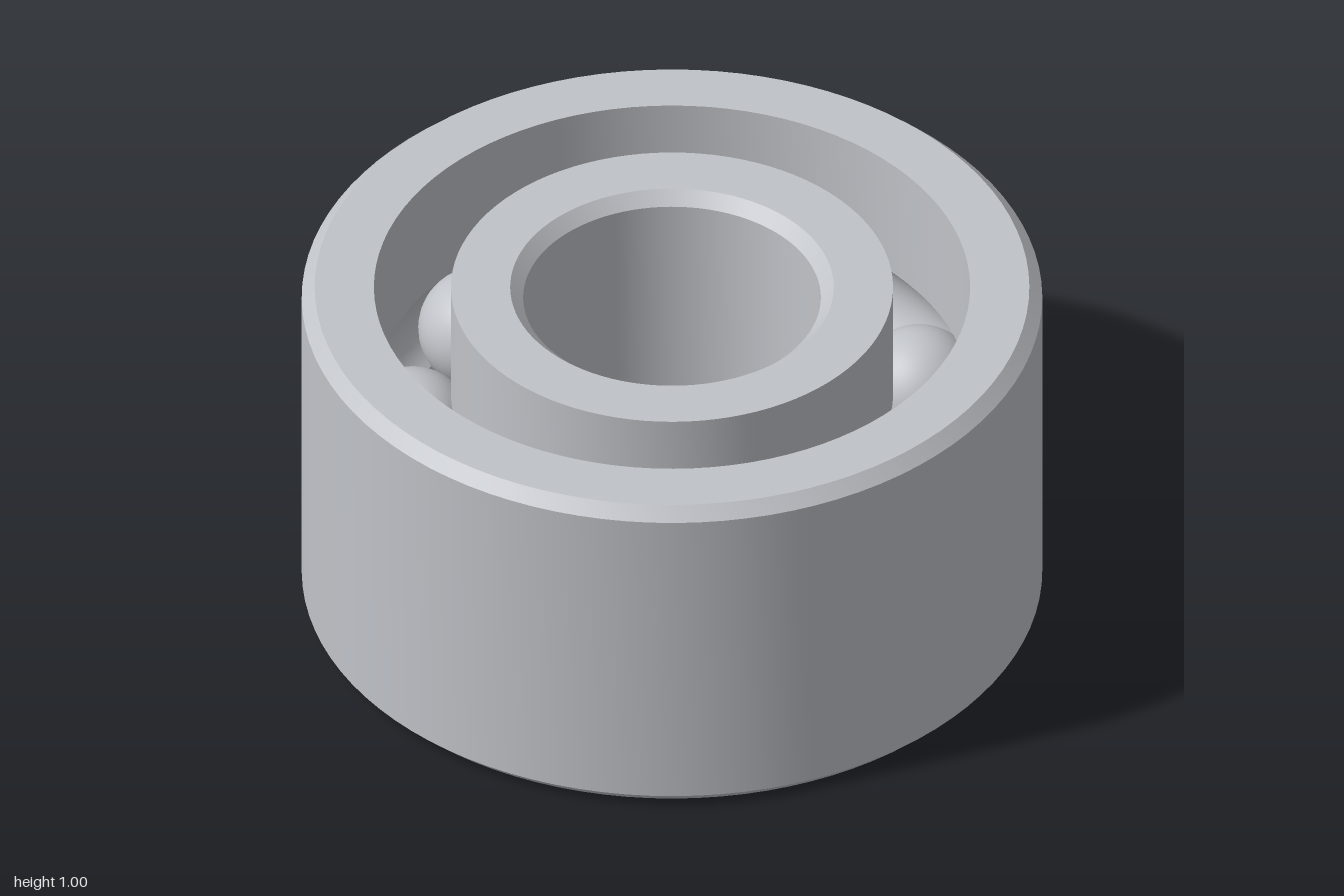
import * as THREE from 'three';
import { toCreasedNormals } from 'three/addons/utils/BufferGeometryUtils.js';

const PITCH = 0.7, MID = 0.5, HEIGHT = 1;   // ball circle radius, mid height, ring height
const BALL = 0.167, GROOVE = 0.17, CHAMFER = 0.035;
const BALL_COUNT = 9, SEGMENTS = 96;

// Raceway arc from lower to upper lip; side is +1 (outer ring) or -1 (inner ring)
function racewayArc(wallRadius, side) {
  const half = Math.acos(Math.abs(wallRadius - PITCH) / GROOVE);
  const points = [];
  for (let i = 0; i <= 16; i++) {
    const a = half * (i / 8 - 1);
    points.push([PITCH + side * GROOVE * Math.cos(a), MID + GROOVE * Math.sin(a)]);
  }
  return points;
}

// Revolve a closed profile, listed counterclockwise in (radius, height)
function ring(name, profile, material) {
  const points = [...profile, profile[0]].map(([r, y]) => new THREE.Vector2(r, y));
  const geometry = toCreasedNormals(new THREE.LatheGeometry(points, SEGMENTS), 0.4);
  const mesh = new THREE.Mesh(geometry, material);
  mesh.name = name;
  return mesh;
}

export function createModel() {
  const steel = new THREE.MeshStandardMaterial({ color: 0xc0c3c8 });
  steel.name = 'steel';

  const model = new THREE.Group();
  model.name = 'ballBearing';

  // Outer ring: chamfered outside, grooved inside
  const outerWall = 0.805;
  model.add(ring('outerRing', [
    [outerWall, 0], [1 - CHAMFER, 0], [1, CHAMFER],
    [1, HEIGHT - CHAMFER], [1 - CHAMFER, HEIGHT], [outerWall, HEIGHT],
    ...racewayArc(outerWall, 1).reverse(),
  ], steel));

  // Inner ring: grooved outside, chamfered bore
  const innerWall = 0.597, bore = 0.402;
  model.add(ring('innerRing', [
    [bore + CHAMFER, 0], [innerWall, 0],
    ...racewayArc(innerWall, -1),
    [innerWall, HEIGHT], [bore + CHAMFER, HEIGHT],
    [bore, HEIGHT - CHAMFER], [bore, CHAMFER],
  ], steel));

  // Balls evenly spaced in the raceway, the first on +x
  const balls = new THREE.Group();
  balls.name = 'balls';
  const ballGeometry = new THREE.SphereGeometry(BALL, 36, 24);
  for (let i = 0; i < BALL_COUNT; i++) {
    const a = (i / BALL_COUNT) * Math.PI * 2;
    const ball = new THREE.Mesh(ballGeometry, steel);
    ball.name = `ball${i + 1}`;
    ball.position.set(PITCH * Math.cos(a), MID, PITCH * Math.sin(a));
    balls.add(ball);
  }
  model.add(balls);

  return model;
}
